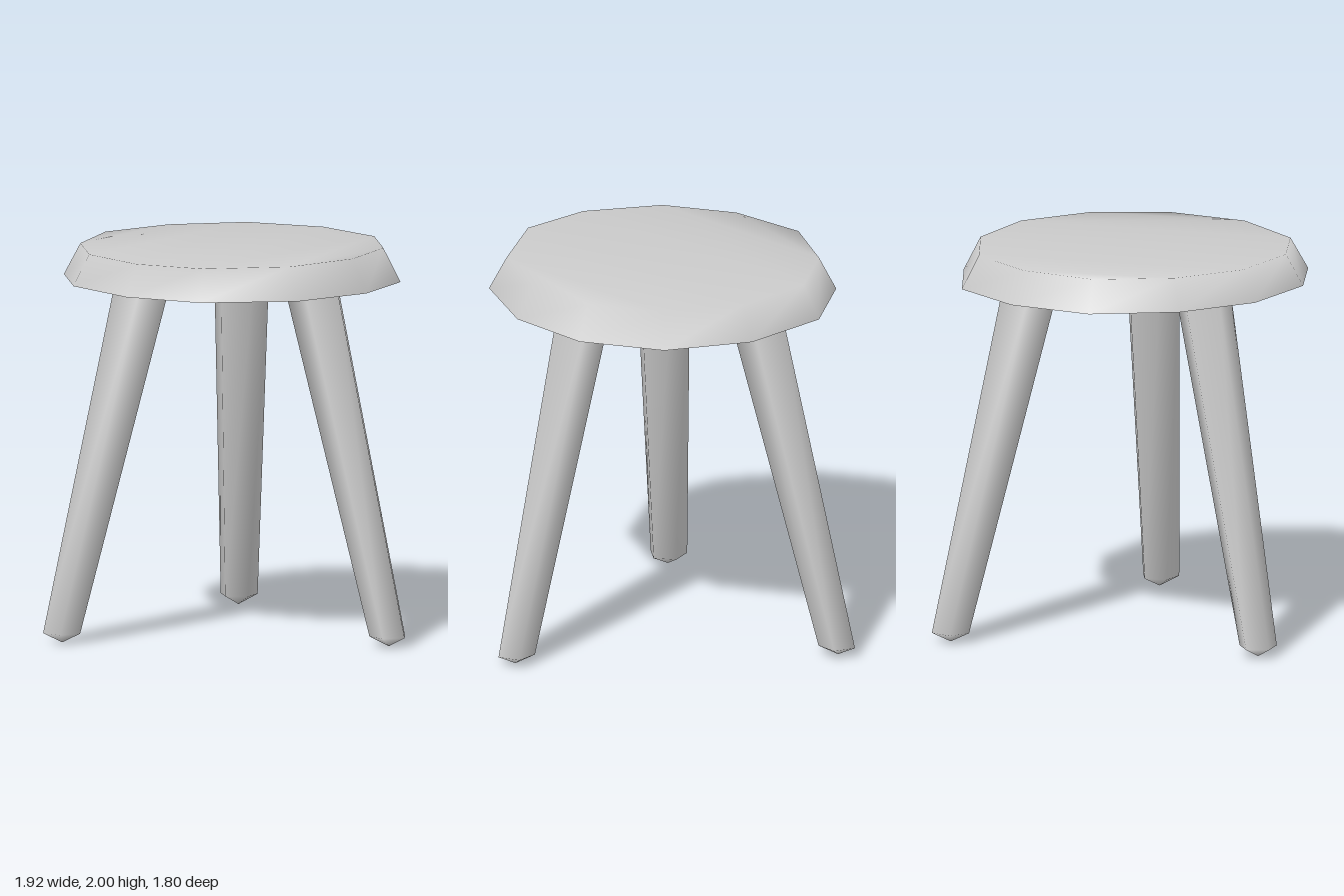
import * as THREE from 'three';

const material = new THREE.MeshStandardMaterial({ color: 0xcccccc });

// Smooth skin through rings listed from bottom to top (each ring runs from +x towards +z).
function loft(rings, capTop) {
  const n = rings[0].length;
  const index = [];
  for (let r = 0; r < rings.length - 1; r++) {
    for (let i = 0; i < n; i++) {
      const j = (i + 1) % n;
      const a = r * n + i, b = r * n + j, c = a + n, d = b + n;
      index.push(a, c, b, b, c, d);
    }
  }
  if (capTop) {
    // zigzag strip across the last ring
    const base = (rings.length - 1) * n;
    let lo = 0, hi = n - 1;
    while (hi - lo > 1) {
      index.push(base + lo, base + hi, base + lo + 1);
      lo++;
      if (hi - lo > 1) {
        index.push(base + lo, base + hi, base + hi - 1);
        hi--;
      }
    }
  }
  const geometry = new THREE.BufferGeometry();
  geometry.setAttribute('position', new THREE.Float32BufferAttribute(rings.flat(2), 3));
  geometry.setIndex(index);
  geometry.computeVertexNormals();
  return geometry;
}

function addMesh(parent, name, geometry) {
  const mesh = new THREE.Mesh(geometry, material);
  mesh.name = name;
  parent.add(mesh);
}

// Hand-cut, slightly uneven twelve-sided seat with bevelled rim
function createSeat() {
  const seat = new THREE.Group();
  seat.name = 'seat';
  const outline = [
    [0.79, 0], [0.69, 0.46], [0.34, 0.82], [-0.07, 0.9], [-0.51, 0.76], [-0.81, 0.44],
    [-0.96, 0], [-0.84, -0.44], [-0.54, -0.78], [-0.08, -0.89], [0.37, -0.77], [0.68, -0.44],
  ];
  const cx = -0.085, inset = 0.9;
  const lower = outline.map(([x, z]) => [x, 1.832 - 0.005 * x + 0.008 * z, z]);
  const upper = outline.map(([x, z]) => [cx + (x - cx) * inset, 2, z * inset]);
  addMesh(seat, 'seatTop', loft([lower, upper], true));

  // flat underside with a hard edge
  const under = new THREE.BufferGeometry();
  under.setAttribute('position', new THREE.Float32BufferAttribute(lower.flat(), 3));
  const index = [];
  for (let i = 1; i < lower.length - 1; i++) index.push(0, i, i + 1);
  under.setIndex(index);
  under.computeVertexNormals();
  addMesh(seat, 'seatUnderside', under);
  return seat;
}

// Splayed five-sided leg, tapering down to a blunt point
function createLeg(top, foot, turn) {
  const ring = ([x, z], y, radius) => Array.from({ length: 5 }, (_, i) => {
    const angle = THREE.MathUtils.degToRad(turn + i * 72);
    return [x + radius * Math.cos(angle), y, z + radius * Math.sin(angle)];
  });
  return loft([ring(foot, 0, 0.001), ring(foot, 0.05, 0.1), ring(top, 1.84, 0.15)], true);
}

export function createModel() {
  const stool = new THREE.Group();
  stool.name = 'stool';
  stool.add(createSeat());
  addMesh(stool, 'leftLeg', createLeg([0.425, -0.035], [0.86, -0.1], 0));
  addMesh(stool, 'frontRightLeg', createLeg([-0.31, 0.43], [-0.56, 0.79], 131));
  addMesh(stool, 'backRightLeg', createLeg([-0.353, -0.46], [-0.632, -0.815], 240));
  return stool;
}
